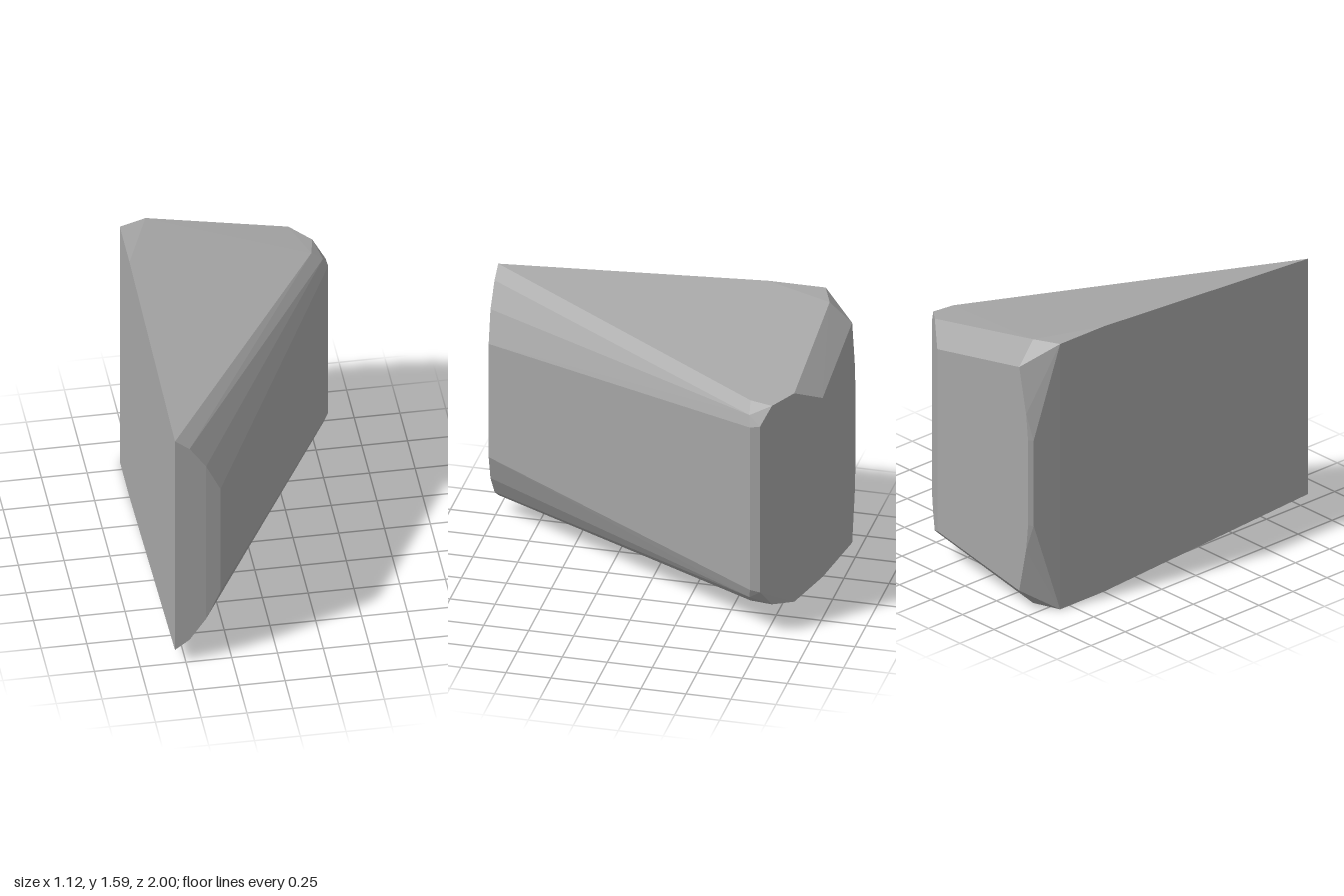
import * as THREE from 'three';
import { ConvexGeometry } from 'three/addons/geometries/ConvexGeometry.js';

const HEIGHT = 1.59;

// Corners of the upper half; the lower half is their mirror image
const frontFace = [
  [-0.56, 1.5, 1], [-0.48, 1.44, 1], [-0.39, 1.31, 1], [-0.31, 1.14, 0.99],
];
const topRidge = [
  [-0.56, 1.59, -0.5], [-0.56, 1.59, -0.82], [-0.41, 1.585, -0.88],
];
const rightCorner = [
  [0.555, 1.29, -0.68], [0.55, 1.3, -0.735], [0.525, 1.35, -0.67],
  [0.46, 1.405, -0.66], [0.485, 1.4, -0.785], [0.37, 1.43, -0.88],
];
const backFace = [
  [0.22, 1.34, -1], [-0.43, 1.465, -1], [-0.485, 1.2, -1],
  [-0.5, 1.05, -1], [-0.523, 1.05, -0.98],
];

export function createModel() {
  const grey = new THREE.MeshStandardMaterial({ color: 0xa6a6a6 });
  grey.name = 'stone grey';

  // Faceted wedge: hull of the upper corners and their mirrored lower copies
  const points = [];
  for (const [x, y, z] of [...frontFace, ...topRidge, ...rightCorner, ...backFace]) {
    points.push(new THREE.Vector3(x, y, z), new THREE.Vector3(x, HEIGHT - y, z));
  }
  const wedge = new THREE.Mesh(new ConvexGeometry(points), grey);
  wedge.name = 'wedgeBlock';

  const model = new THREE.Group();
  model.name = 'facetedWedge';
  model.add(wedge);
  return model;
}
